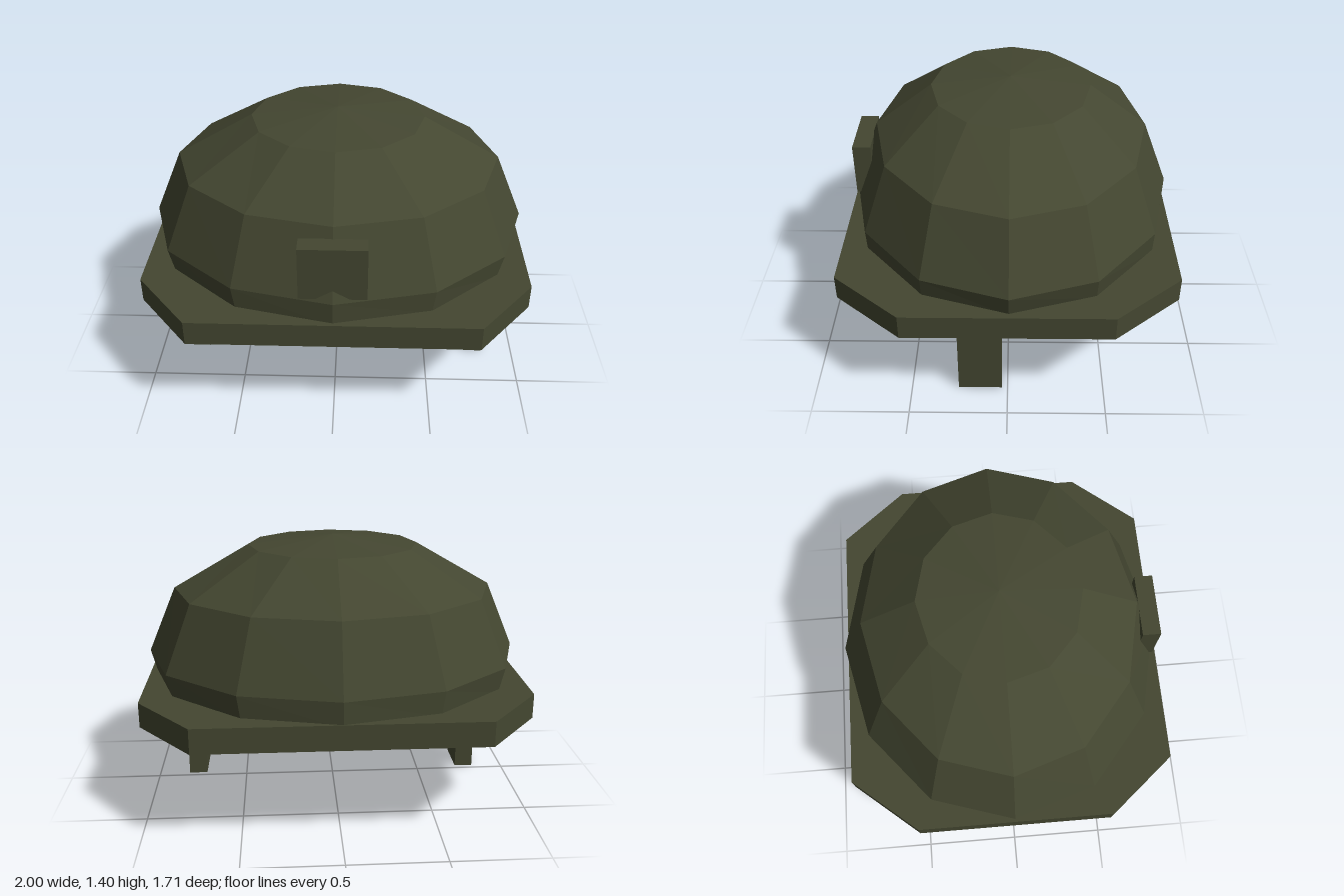
import * as THREE from 'three';

export function createModel() {
  const model = new THREE.Group();
  const olive = new THREE.MeshStandardMaterial({ color: 0x444731, flatShading: true });
  olive.name = 'olive';

  function add(name, geometry, x = 0, y = 0, z = 0) {
    const mesh = new THREE.Mesh(geometry, olive);
    mesh.name = name;
    mesh.position.set(x, y, z);
    model.add(mesh);
  }

  // Faceted dome: rings as [half width, height, half depth], bottom to top
  const rings = [
    [0.965, 0.64, 0.845], [1, 0.77, 0.848], [0.85, 1.12, 0.712],
    [0.45, 1.35, 0.412], [0, 1.4, 0],
  ];
  let dome = new THREE.LatheGeometry(rings.map(([r, y]) => new THREE.Vector2(r, y)), 12);
  const pos = dome.attributes.position;
  for (let i = 0; i < pos.count; i++) {
    const [width, , depth] = rings[i % rings.length];
    if (width > 0) pos.setZ(i, pos.getZ(i) * depth / width);
  }
  dome = dome.toNonIndexed();
  dome.computeVertexNormals();
  add('dome', dome, 0, 0, -0.008);

  // Flat octagonal brim
  const outline = [
    [0.72, 0.857], [1, 0.515], [1, -0.515], [0.72, -0.857],
    [-0.72, -0.857], [-1, -0.515], [-1, 0.515], [-0.72, 0.857],
  ].map(([x, z]) => new THREE.Vector2(x, z));
  const brim = new THREE.ExtrudeGeometry(new THREE.Shape(outline), { depth: 0.13, bevelEnabled: false });
  brim.rotateX(-Math.PI / 2);
  add('brim', brim, 0, 0.527, 0);

  // Block on the front of the dome
  add('frontBlock', new THREE.BoxGeometry(0.33, 0.28, 0.095), 0, 0.925, 0.768);

  // Straps hanging from either side
  for (const [name, side] of [['leftStrap', 1], ['rightStrap', -1]]) {
    add(name, new THREE.BoxGeometry(0.1, 0.53, 0.225), side * 0.78, 0.265, 0.143);
  }
  return model;
}
